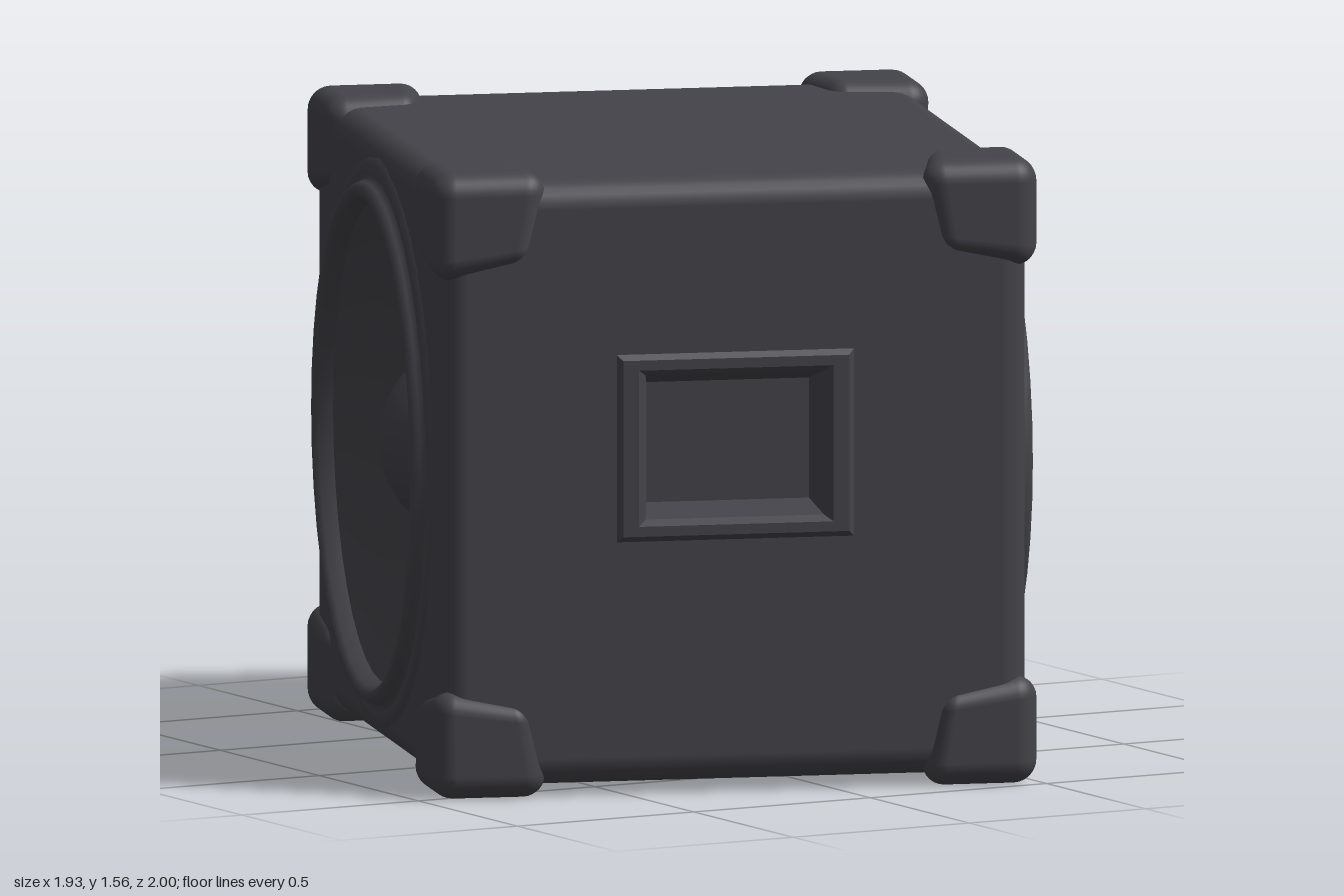
import * as THREE from 'three';
import { RoundedBoxGeometry } from 'three/addons/geometries/RoundedBoxGeometry.js';

// Cabinet half sizes, centre height and edge radius
const A = 0.742, H = 0.755, B = 0.797, MID = 0.783, R = 0.07;
const HANDLE_Y = 0.085;

// Rectangular sections [width, height, z] joined from outside to inside, closed by a floor
function rectLoft(sections) {
  const pos = [];
  const loops = sections.map(([w, h, z]) =>
    [[-1, -1], [1, -1], [1, 1], [-1, 1]].map(([x, y]) => [x * w / 2, y * h / 2, z]));
  for (let s = 0; s < loops.length - 1; s++) {
    const o = loops[s], n = loops[s + 1];
    for (let i = 0; i < 4; i++) {
      const j = (i + 1) % 4;
      pos.push(...o[i], ...o[j], ...n[j], ...o[i], ...n[j], ...n[i]);
    }
  }
  const f = loops[loops.length - 1];
  pos.push(...f[0], ...f[1], ...f[2], ...f[0], ...f[2], ...f[3]);
  const g = new THREE.BufferGeometry();
  g.setAttribute('position', new THREE.Float32BufferAttribute(pos, 3));
  g.computeVertexNormals();
  return g;
}

// Flat panel facing +z with an optional hole
function panel(w, h, hole) {
  const s = new THREE.Shape([[-w, -h], [w, -h], [w, h], [-w, h]].map(p => new THREE.Vector2(...p)));
  if (hole) s.holes.push(hole);
  return new THREE.ShapeGeometry(s, 32);
}

// Rounded block whose outer corner is at the origin, with its inner corners drawn in
function protector(size, signs) {
  const g = new RoundedBoxGeometry(...size, 4, 0.06);
  const p = g.attributes.position;
  for (let i = 0; i < p.count; i++) {
    const u = [p.getX(i), p.getY(i), p.getZ(i)].map((v, k) => 0.5 - signs[k] * v / size[k]);
    const out = u.map((d, k) => {
      const side = Math.max(u[(k + 1) % 3], u[(k + 2) % 3]);
      return -signs[k] * size[k] * d * (1 - 0.2 * d * side);
    });
    p.setXYZ(i, ...out);
  }
  return g;
}

export function createModel() {
  const root = new THREE.Group();
  root.name = 'speakerCabinet';
  const cabinet = new THREE.Group();
  cabinet.name = 'cabinet';
  cabinet.position.y = MID;
  cabinet.rotation.y = -Math.PI / 10;
  root.add(cabinet);

  const mat = new THREE.MeshStandardMaterial({ color: 0x444349 });
  mat.name = 'charcoal';
  const add = (parent, name, geo) => {
    const m = new THREE.Mesh(geo, mat);
    m.name = name;
    parent.add(m);
    return m;
  };
  const a = A - R, h = H - R, b = B - R;

  // Top and bottom panels
  add(cabinet, 'topPanel', panel(a, b).rotateX(-Math.PI / 2).translate(0, H, 0));
  add(cabinet, 'bottomPanel', panel(a, b).rotateX(Math.PI / 2).translate(0, -H, 0));

  // Rounded edges along all three axes
  const axes = [['verticalEdge', 0, 0, h], ['sideToSideEdge', 0, Math.PI / 2, a], ['frontToBackEdge', Math.PI / 2, 0, b]];
  for (const [name, rx, rz, half] of axes) {
    for (let k = 0; k < 4; k++) {
      const turn = new THREE.Matrix4().makeRotationFromEuler(new THREE.Euler(rx, 0, rz))
        .multiply(new THREE.Matrix4().makeRotationY(k * Math.PI / 2));
      const at = new THREE.Vector3(1, 0, 1).applyMatrix4(turn).multiply(new THREE.Vector3(a, h, b));
      const g = new THREE.CylinderGeometry(R, R, half * 2, 6, 1, true, 0, Math.PI / 2);
      add(cabinet, name, g.applyMatrix4(turn)).position.copy(at);
    }
  }

  // Corner protectors
  for (const x of [-1, 1]) for (const y of [-1, 1]) for (const z of [-1, 1]) {
    add(cabinet, 'cornerProtector', protector([0.3, 0.28, 0.29], [x, y, z]))
      .position.set(x * 0.765, y * 0.782, z * 0.82);
  }

  // Driver profiles: radius, distance from the cabinet centre
  const lathe = pts => new THREE.LatheGeometry(pts.map(p => new THREE.Vector2(...p)), 40).rotateZ(-Math.PI / 2);
  const rim = [[0.71, 0.737], [0.695, 0.752], [0.67, 0.755], [0.655, 0.745], [0.648, 0.765],
    [0.637, 0.782], [0.62, 0.784], [0.605, 0.77], [0.595, 0.735]];
  const cone = [[0.595, 0.735], [0.55, 0.705], [0.47, 0.67], [0.37, 0.635], [0.28, 0.61], [0.2, 0.6]];
  const cap = [[0.23, 0.6], [0.205, 0.63], [0.16, 0.678], [0.11, 0.71], [0.055, 0.728], [0, 0.733]];

  // Each half carries a driver on its side and a handle on its face
  for (let i = 0; i < 2; i++) {
    const half = new THREE.Group();
    half.name = i ? 'backHalf' : 'frontHalf';
    half.rotation.y = i * Math.PI;
    cabinet.add(half);

    const circle = new THREE.Path().absarc(0, 0, 0.67, 0, Math.PI * 2, true);
    add(half, 'sidePanel', panel(b, h, circle).rotateY(Math.PI / 2).translate(A, 0, 0));
    add(half, 'driverRim', lathe(rim));
    add(half, 'driverCone', lathe(cone));
    add(half, 'dustCap', lathe(cap));

    const slot = new THREE.Path([[-0.25, -0.2], [-0.25, 0.2], [0.25, 0.2], [0.25, -0.2]]
      .map(([x, y]) => new THREE.Vector2(x, y + HANDLE_Y)));
    add(half, 'handlePanel', panel(a, h, slot).translate(0, 0, B));
    add(half, 'recessedHandle', rectLoft([[0.6, 0.47, 0.796], [0.57, 0.44, 0.81], [0.49, 0.39, 0.81],
      [0.45, 0.36, 0.79], [0.41, 0.3, 0.7]])).position.y = HANDLE_Y;
  }
  return root;
}
